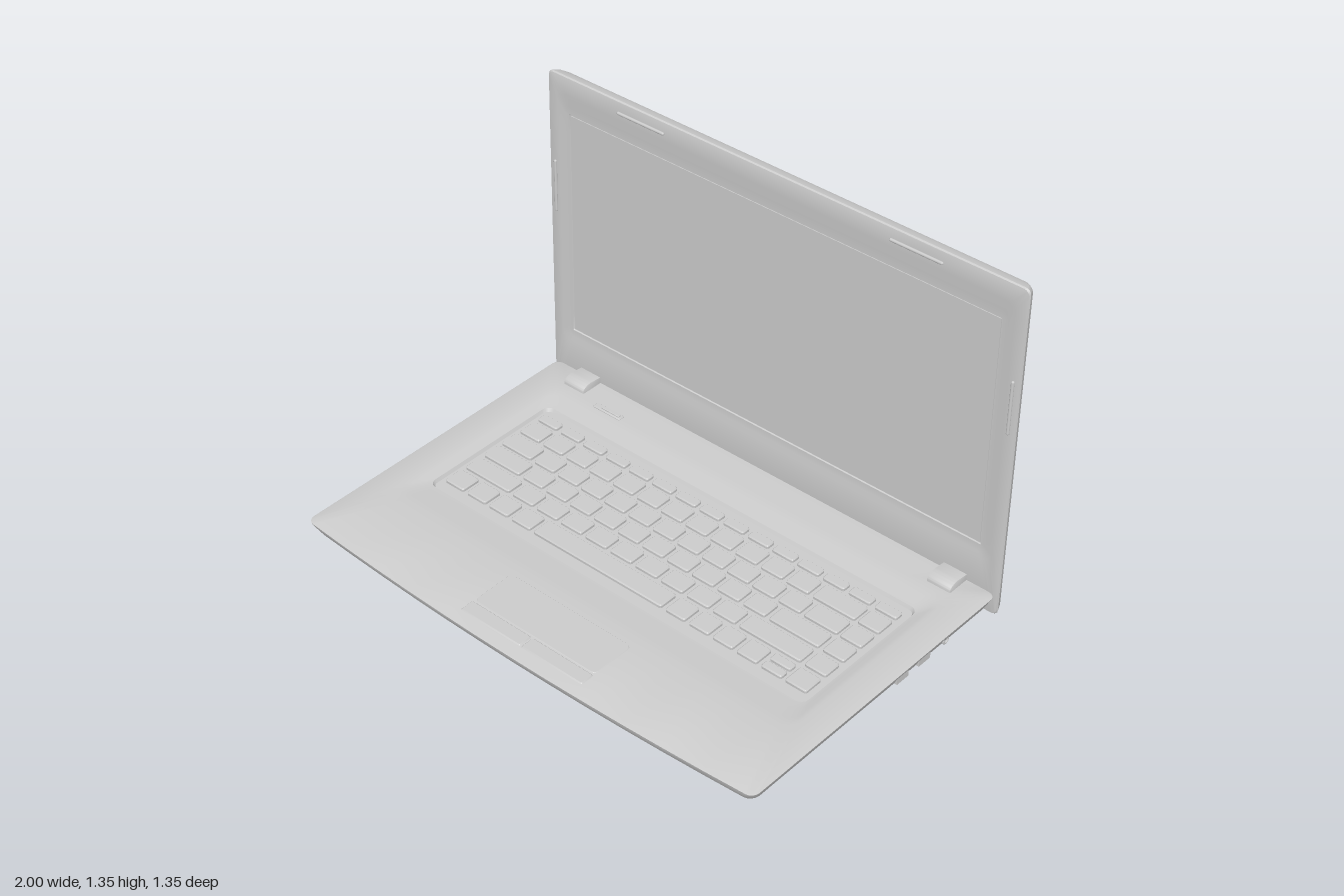
import * as THREE from 'three';
import { toCreasedNormals } from 'three/addons/utils/BufferGeometryUtils.js';

const grey = new THREE.MeshStandardMaterial({ color: 0xcccccc });

// Points (x, z) of a rounded rectangle; bow pushes the middle of the +z edge outward.
function outline({ hw, v0, v1, r, bow = 0, cx = 0 }, arc, edge) {
  const pts = [], mid = (v0 + v1) / 2, hv = (v1 - v0) / 2;
  const corners = [[1, 1], [-1, 1], [-1, -1], [1, -1]];
  const corner = (k, a) => {
    const [sx, sz] = corners[k];
    return [sx * (hw - r) + r * Math.cos(a), mid + sz * (hv - r) + r * Math.sin(a)];
  };
  for (let k = 0; k < 4; k++) {
    for (let i = 0; i <= arc; i++) pts.push(corner(k, (k + i / arc) * Math.PI / 2));
    const a = pts[pts.length - 1], b = corner((k + 1) % 4, (k + 1) * Math.PI / 2);
    for (let i = 1; i < edge; i++) {
      const t = i / edge;
      pts.push([a[0] + (b[0] - a[0]) * t, a[1] + (b[1] - a[1]) * t]);
    }
  }
  return pts.map(([x, z]) => {
    const w = Math.max(0, (z - mid) / hv);
    return [x + cx, z + bow * w * (1 - (x / hw) ** 2)];
  });
}

// Closed solid through rounded-rectangle rings, capped at both ends.
function loft(rings, arc = 4, edge = 12, crease = 0.5) {
  const pos = [], idx = [];
  let n = 0;
  for (const ring of rings) {
    const pts = outline(ring, arc, edge);
    n = pts.length;
    for (const [x, z] of pts) pos.push(x, ring.h, z);
  }
  for (let i = 0; i < rings.length - 1; i++) {
    for (let j = 0; j < n; j++) {
      const k = (j + 1) % n, a = i * n, b = a + n;
      idx.push(a + j, b + j, a + k, a + k, b + j, b + k);
    }
  }
  const last = rings.length - 1;
  for (const [i, flip] of [[0, false], [last, true]]) {
    const c = pos.length / 3, ring = rings[i];
    pos.push(ring.cx || 0, ring.h, (ring.v0 + ring.v1) / 2);
    for (let j = 0; j < n; j++) {
      const p = i * n + j, q = i * n + (j + 1) % n;
      idx.push(c, flip ? q : p, flip ? p : q);
    }
  }
  const g = new THREE.BufferGeometry();
  g.setAttribute('position', new THREE.Float32BufferAttribute(pos, 3));
  g.setIndex(idx);
  return toCreasedNormals(g, crease);
}

// Thin plate with a small chamfer, lying flat between heights h0 and h1.
function plate(x0, x1, z0, z1, h0, h1, r = 0.008, c = 0.004) {
  const cx = (x0 + x1) / 2, hw = (x1 - x0) / 2;
  const full = { cx, hw, v0: z0, v1: z1, r };
  const top = { cx, hw: hw - c, v0: z0 + c, v1: z1 - c, r: Math.max(r - c, 0.002), h: h1 };
  return loft([{ ...full, h: h0 }, { ...full, h: h1 - c }, top], 3, 1, 0.3);
}

export function createModel() {
  const model = new THREE.Group();
  const add = (name, geometry, parent = model) => {
    const mesh = new THREE.Mesh(geometry, grey);
    mesh.name = name;
    parent.add(mesh);
    return mesh;
  };
  const group = (name) => {
    const g = new THREE.Group();
    g.name = name;
    model.add(g);
    return g;
  };

  // Base: curved underside, side seam, deck dipping into the keyboard well
  const base = (h, hw, v0, v1, r, bow = 0) => ({ h, hw, v0, v1, r, bow });
  add('base', loft([
    base(0.015, 0.78, -0.53, 0.46, 0.04, 0.03),
    base(0.021, 0.85, -0.56, 0.52, 0.04, 0.03),
    base(0.04, 0.915, -0.585, 0.568, 0.04, 0.03),
    base(0.08, 0.963, -0.6, 0.607, 0.035, 0.034),
    base(0.081, 0.968, -0.602, 0.612, 0.035, 0.034),
    base(0.122, 0.988, -0.608, 0.634, 0.03, 0.036),
    base(0.128, 0.99, -0.609, 0.635, 0.03, 0.036),
    base(0.13, 0.986, -0.606, 0.631, 0.03, 0.036),
    base(0.13, 0.885, -0.49, 0.34, 0.06),
    base(0.127, 0.868, -0.455, 0.3, 0.05),
    base(0.119, 0.848, -0.415, 0.245, 0.04),
    base(0.116, 0.835, -0.392, 0.208, 0.03),
    base(0.104, 0.828, -0.385, 0.201, 0.025),
  ]));

  // Keyboard: rows of [z start, z end, key spans]
  const keyboard = group('keyboard');
  const L = -0.81, R = 0.805, gap = 0.018, col = 0.718;
  const run = (a, b, n) => Array.from({ length: n }, (_, i) => {
    const p = (b - a + gap) / n;
    return [a + i * p, a + (i + 1) * p - gap];
  });
  const rows = [
    [-0.35, -0.311, run(L, R, 15)],
    [-0.295, -0.218, [...run(L, 0.51, 12), [0.528, 0.705], [col, R]]],
    [-0.202, -0.126, [[L, -0.67], ...run(-0.652, 0.55, 11), [0.568, 0.705], [col, R]]],
    [-0.111, -0.036, [[L, -0.64], ...run(-0.622, 0.475, 10), [0.493, 0.7], [col, R]]],
    [-0.018, 0.056, [[L, -0.6], ...run(-0.582, 0.425, 9), [0.443, 0.7], [col, R]]],
    [0.075, 0.155, [...run(L, -0.405, 4), [-0.387, 0.192], ...run(0.21, 0.6, 4), [col, R]]],
  ];
  for (const [z0, z1, spans] of rows) {
    for (const [a, b] of spans) add('key', plate(a, b, z0, z1, 0.1, 0.117), keyboard);
  }
  for (const z of [0.075, 0.12]) add('arrowKey', plate(0.618, 0.703, z, z + 0.035, 0.1, 0.117), keyboard);

  // Touchpad and its two buttons
  const touchpad = group('touchpad');
  add('touchpadSurface', plate(-0.275, 0.265, 0.375, 0.553, 0.12, 0.132, 0.02, 0.003), touchpad);
  add('leftButton', plate(-0.275, -0.007, 0.558, 0.615, 0.12, 0.134), touchpad);
  add('rightButton', plate(-0.002, 0.265, 0.558, 0.615, 0.12, 0.134), touchpad);

  // Power button
  add('powerButtonFrame', plate(-0.7, -0.572, -0.512, -0.483, 0.12, 0.136, 0.006));
  add('powerButton', plate(-0.665, -0.58, -0.506, -0.489, 0.125, 0.141, 0.004, 0.002));

  // Lid: rounded back shell, bezel sloping in to the screen (built flat, then stood up)
  const lid = group('lid');
  const lidRing = (h, hw, y0, y1, r) => ({ h, hw, v0: -y1, v1: -y0, r });
  add('lidShell', loft([
    lidRing(-0.677, 0.93, 0.12, 1.275, 0.03),
    lidRing(-0.673, 0.953, 0.088, 1.31, 0.03),
    lidRing(-0.66, 0.974, 0.063, 1.332, 0.028),
    lidRing(-0.638, 0.99, 0.049, 1.345, 0.024),
    lidRing(-0.613, 1.0, 0.045, 1.35, 0.02),
    lidRing(-0.607, 0.997, 0.048, 1.347, 0.02),
    lidRing(-0.606, 0.994, 0.051, 1.344, 0.02),
    lidRing(-0.606, 0.955, 0.25, 1.28, 0.04),
    lidRing(-0.611, 0.93, 0.27, 1.235, 0.03),
    lidRing(-0.612, 0.91, 0.3, 1.205, 0.004),
    lidRing(-0.617, 0.908, 0.302, 1.203, 0.004),
  ]).rotateX(Math.PI / 2), lid);
  const screen = add('screen', new THREE.BoxGeometry(1.806, 0.891, 0.006), lid);
  screen.position.set(0, 0.7525, -0.617);

  // Rubber bumpers on the bezel
  const bumper = (length) => new THREE.CapsuleGeometry(0.006, length - 0.012, 4, 10);
  for (const s of [-1, 1]) {
    const top = add('topBumper', bumper(0.21).rotateZ(Math.PI / 2), lid);
    top.position.set(s * 0.575, 1.305, -0.604);
    add('sideBumper', bumper(0.21), lid).position.set(s * 0.973, 0.895, -0.604);
  }

  // Hinges: rounded covers joining deck and lid
  const cover = new THREE.Shape();
  cover.moveTo(0.518, 0.11);
  cover.lineTo(0.518, 0.138);
  cover.quadraticCurveTo(0.525, 0.155, 0.56, 0.156);
  cover.lineTo(0.612, 0.15);
  cover.lineTo(0.625, 0.07);
  cover.lineTo(0.6, 0.07);
  cover.lineTo(0.595, 0.11);
  const coverGeometry = toCreasedNormals(new THREE.ExtrudeGeometry(cover, {
    depth: 0.088, bevelThickness: 0.004, bevelSize: 0.003, bevelSegments: 2,
  }).translate(0, 0, -0.044).rotateY(Math.PI / 2), 0.6);
  for (const s of [-1, 1]) add('hinge', coverGeometry).position.x = s * 0.823;

  // Round feet
  const foot = new THREE.LatheGeometry([
    [0, 0], [0.06, 0.001], [0.08, 0.006], [0.088, 0.014], [0.088, 0.024],
  ].map(([x, y]) => new THREE.Vector2(x, y)), 36);
  for (const x of [-0.72, 0.72]) {
    for (const z of [-0.44, 0.46]) add('foot', foot).position.set(x, 0, z);
  }

  // Ports on the left side
  for (const z of [-0.12, -0.235]) {
    add('port', new THREE.BoxGeometry(0.03, 0.034, 0.06)).position.set(0.966, 0.1, z);
  }
  const jack = add('audioJack', new THREE.TorusGeometry(0.013, 0.004, 8, 24));
  jack.rotation.y = Math.PI / 2;
  jack.position.set(0.978, 0.1, -0.35);

  return model;
}
